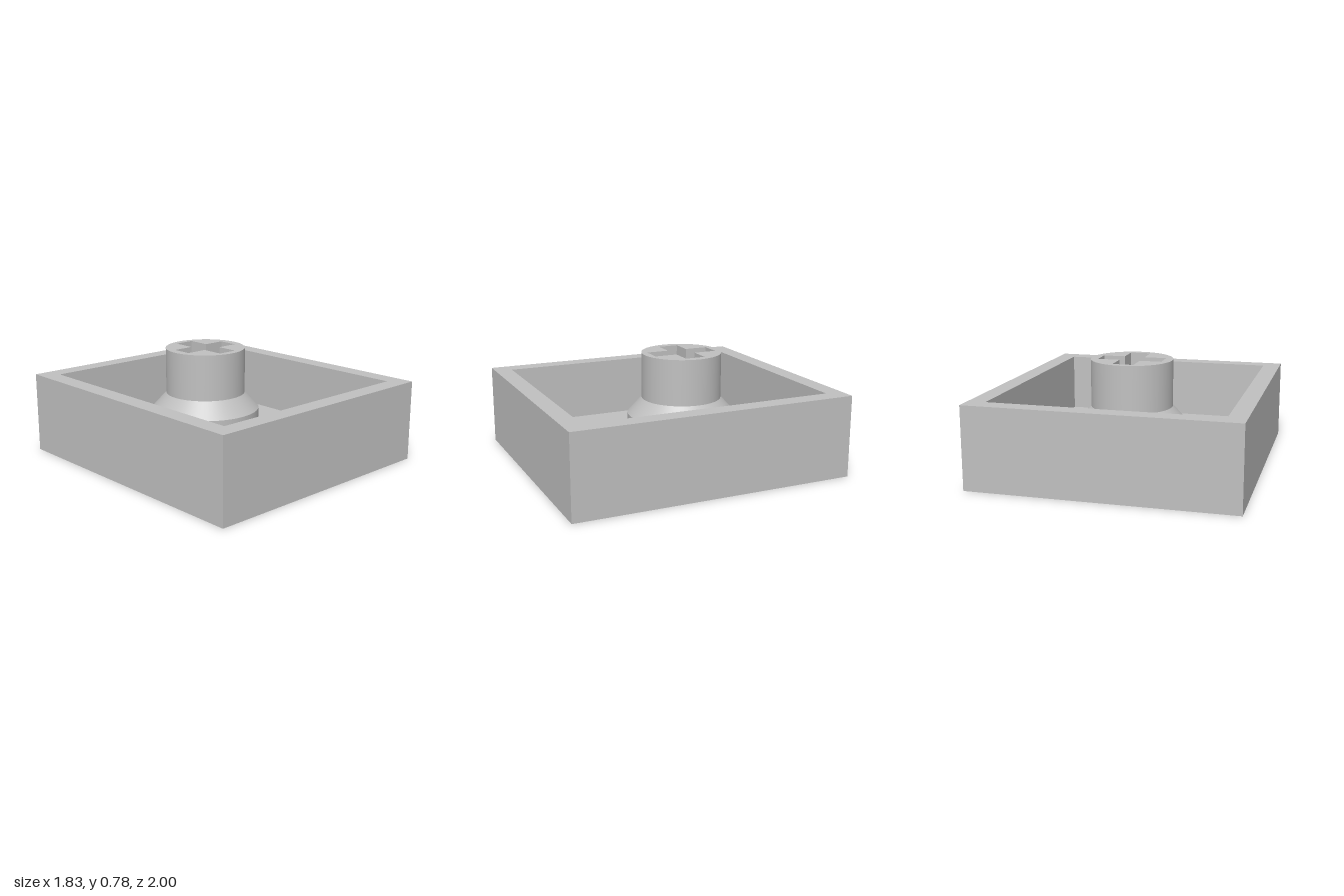
import * as THREE from 'three';

// Rectangle outline, counter-clockwise seen from above (shape y = -z)
const rect = (hx, hy) => [[-hx, -hy], [hx, -hy], [hx, hy], [-hx, hy]];
// Plus-shaped outline: arm lengths and half widths
const cross = (ax, ay, w) => [
  [-w, -ay], [w, -ay], [w, -w], [ax, -w], [ax, w], [w, w],
  [w, ay], [-w, ay], [-w, w], [-ax, w], [-ax, -w], [-w, -w],
];
const toVectors = (pts) => pts.map(([x, y]) => new THREE.Vector2(x, y));
const circle = (r, cy = 0) =>
  new THREE.Path().absarc(0, cy, r, 0, Math.PI * 2, false).getPoints(64);

// Flat face at height y, with optional hole, facing up or down
function cap(outline, y, hole, down = false) {
  const shape = new THREE.Shape(outline);
  if (hole) shape.holes.push(new THREE.Path(hole));
  const geo = new THREE.ShapeGeometry(shape);
  geo.rotateX(down ? Math.PI / 2 : -Math.PI / 2);
  return geo.translate(0, y, 0);
}

// Vertical flat walls along an outline, facing outward or inward
function walls(outline, y0, y1, inward = false) {
  const pts = inward ? [...outline].reverse() : outline;
  const pos = [];
  pts.forEach((p, i) => {
    const q = pts[(i + 1) % pts.length];
    pos.push(p.x, y0, -p.y, q.x, y0, -q.y, q.x, y1, -q.y);
    pos.push(p.x, y0, -p.y, q.x, y1, -q.y, p.x, y1, -p.y);
  });
  const geo = new THREE.BufferGeometry();
  geo.setAttribute('position', new THREE.Float32BufferAttribute(pos, 3));
  geo.computeVertexNormals();
  return geo;
}

// Open round band between two heights
function band(r0, r1, y0, y1) {
  const geo = new THREE.CylinderGeometry(r1, r0, y1 - y0, 64, 1, true);
  return geo.translate(0, (y0 + y1) / 2, 0);
}

export function createModel() {
  const grey = new THREE.MeshStandardMaterial({ color: 0xc0c0c0 });
  grey.name = 'grey plastic';

  const part = (name, parts) => {
    const group = new THREE.Group();
    group.name = name;
    for (const [key, geo] of Object.entries(parts)) {
      const mesh = new THREE.Mesh(geo, grey);
      mesh.name = key;
      group.add(mesh);
    }
    return group;
  };

  const rimY = 0.575, floorY = 0.145, stemZ = -0.165;
  const outer = toVectors(rect(0.915, 1));
  const inner = toVectors(rect(0.79, 0.876));

  // Open tray
  const tray = part('tray', {
    outerWalls: walls(outer, 0, rimY),
    innerWalls: walls(inner, floorY, rimY, true),
    rim: cap(outer, rimY, inner),
    floor: cap(inner, floorY, circle(0.39, -stemZ)),
    underside: cap(outer, 0, null, true),
  });

  // Stepped round stem with a cross-shaped socket
  const slot = toVectors(cross(0.225, 0.235, 0.072));
  const topY = 0.775, socketY = 0.33;
  const stem = part('stem', {
    stemBase: band(0.39, 0.39, floorY, 0.33),
    stemChamfer: band(0.39, 0.287, 0.33, 0.445),
    stemPost: band(0.287, 0.287, 0.445, topY),
    stemTop: cap(circle(0.287), topY, slot),
    socketWalls: walls(slot, socketY, topY, true),
    socketFloor: cap(slot, socketY),
  });
  stem.position.z = stemZ;

  const model = new THREE.Group();
  model.name = 'trayWithStem';
  model.add(tray, stem);
  return model;
}
